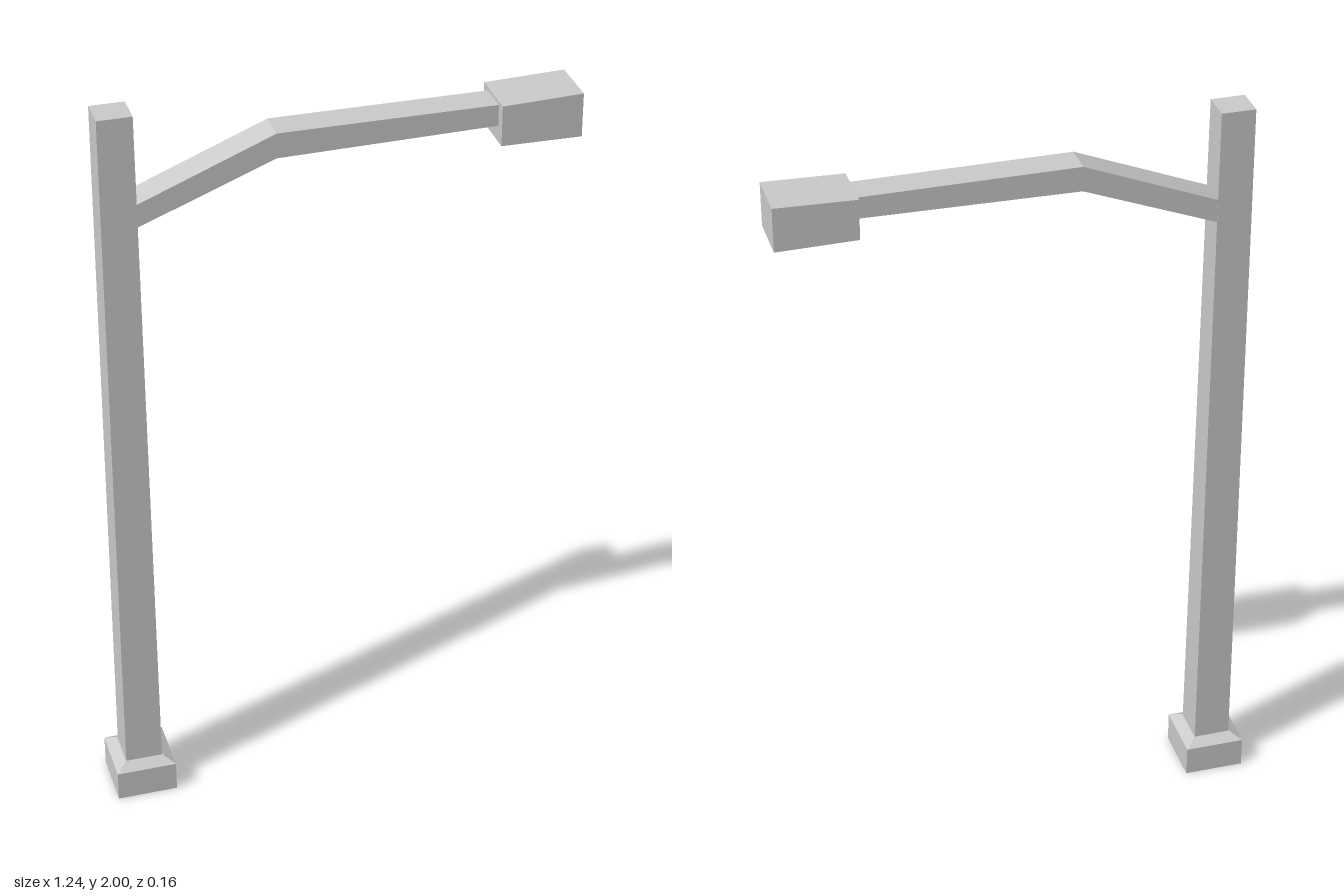
import * as THREE from 'three';

const material = new THREE.MeshStandardMaterial({ color: 0xcccccc, flatShading: true });

function addMesh(group, name, geometry, x = 0, y = 0, z = 0) {
  const mesh = new THREE.Mesh(geometry, material);
  mesh.name = name;
  mesh.position.set(x, y, z);
  group.add(mesh);
}

// Box standing on y = 0 whose top is narrower than its bottom.
function taperedBox(w, d, topW, topD, h) {
  const geometry = new THREE.BoxGeometry(w, h, d).translate(0, h / 2, 0);
  const p = geometry.attributes.position;
  for (let i = 0; i < p.count; i++) {
    if (p.getY(i) > h / 2) {
      p.setX(i, Math.sign(p.getX(i)) * topW / 2);
      p.setZ(i, Math.sign(p.getZ(i)) * topD / 2);
    }
  }
  geometry.computeVertexNormals();
  return geometry;
}

// Side profile in x, y given thickness along z.
function profile(points, depth) {
  const shape = new THREE.Shape(points.map(([x, y]) => new THREE.Vector2(x, y)));
  return new THREE.ExtrudeGeometry(shape, { depth, bevelEnabled: false }).translate(0, 0, -depth / 2);
}

export function createModel() {
  const group = new THREE.Group();
  group.name = 'streetLamp';
  const postX = -0.541;

  // Foot block with a sloped shoulder
  addMesh(group, 'base', new THREE.BoxGeometry(0.16, 0.083, 0.163), postX, 0.0415, 0);
  addMesh(group, 'baseShoulder', taperedBox(0.16, 0.163, 0.103, 0.108, 0.017), postX, 0.083, 0);

  // Slightly tapering square post
  addMesh(group, 'post', taperedBox(0.098, 0.104, 0.088, 0.083, 1.9), postX, 0.1, 0);

  // Bent arm, rising from the post and then running level
  addMesh(group, 'arm', profile([
    [-0.52, 1.696], [-0.15, 1.84], [0.42, 1.847],
    [0.42, 1.903], [-0.15, 1.906], [-0.52, 1.757],
  ], 0.083), 0, 0, 0);

  // Lamp head, a touch taller at its outer end
  addMesh(group, 'lampHead', profile([
    [0.408, 1.805], [0.616, 1.802], [0.616, 1.918], [0.408, 1.912],
  ], 0.139), 0, 0, 0);

  return group;
}
